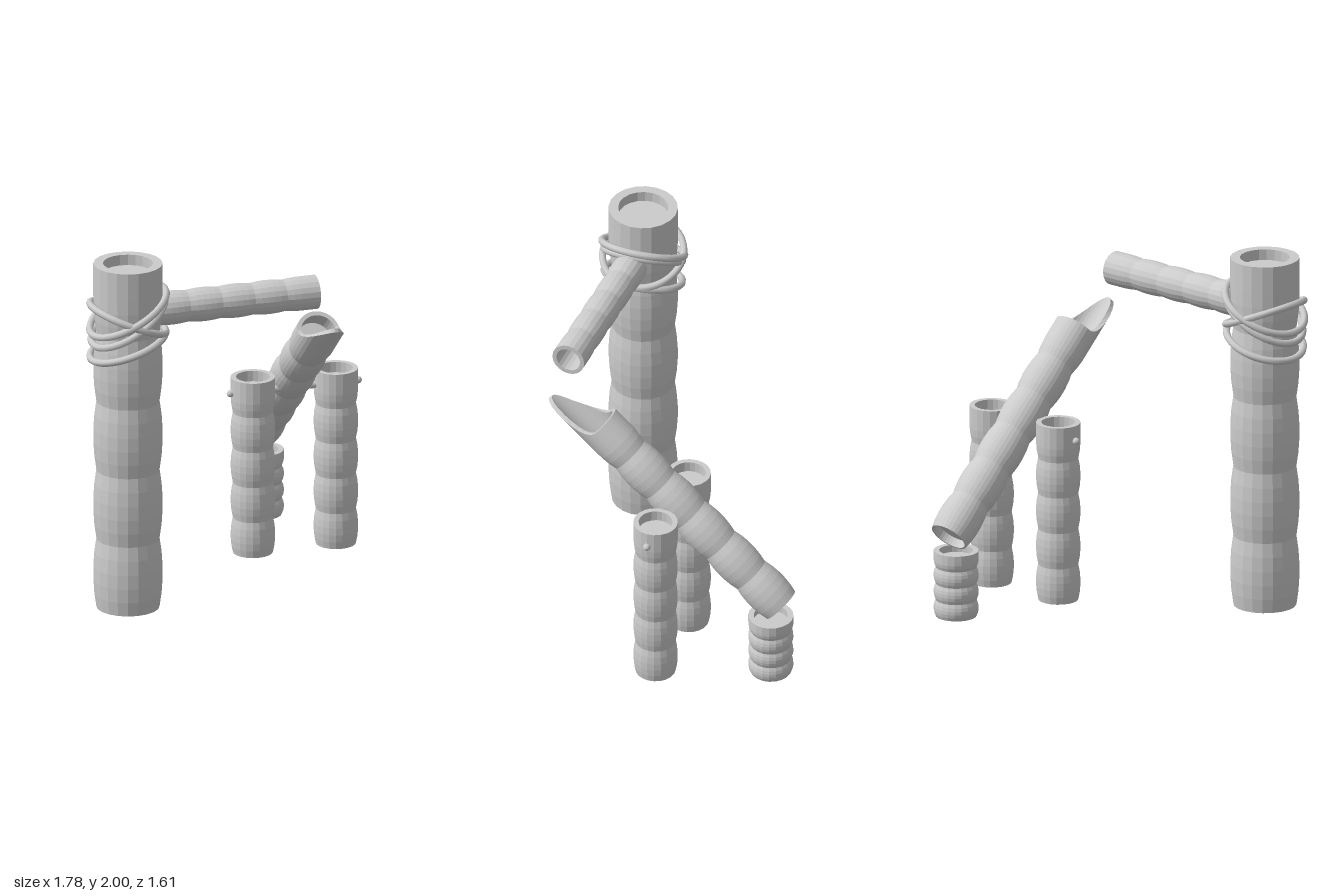
import * as THREE from 'three';

const mat = new THREE.MeshStandardMaterial({ color: 0xcccccc, flatShading: true, side: THREE.DoubleSide });
const smoothMat = new THREE.MeshStandardMaterial({ color: 0xcccccc });

// Bamboo cane along +y: swelling sections, recessed ends closed by inner walls.
function cane({ length, rMax, rMin, sections, inner, top = 0.06, bottom = 0, open = false, flatTop = false, sides = 20 }) {
  const pts = [];
  const add = (r, y) => pts.push(new THREE.Vector2(r, y));
  if (bottom) {
    add(0, bottom);
    add(inner, bottom);
    add(inner, 0);
  } else if (!open) add(0, 0);
  const steps = sections * 5;
  for (let i = 0; i <= steps; i++) {
    const s = (i / steps) * sections;
    // the last section may stay wide up to the rim
    const wide = flatTop && s > sections - 0.5;
    const swell = wide ? 1 : Math.sin(Math.PI * (s % 1)) ** 0.8;
    add(rMin + (rMax - rMin) * (Number.isFinite(swell) ? swell : 0), (length * i) / steps);
  }
  add(inner, length);
  add(inner, length - top);
  add(0, length - top);
  return new THREE.LatheGeometry(pts, sides);
}

function addMesh(parent, name, geometry, x, y, z, material = mat) {
  const mesh = new THREE.Mesh(geometry, material);
  mesh.name = name;
  mesh.position.set(x, y, z);
  parent.add(mesh);
  return mesh;
}

// Closed rope loop around the tall post, tilted from its left to its right end.
function ropeLoop(yLeft, yRight, rx, rz, twist) {
  const pts = [];
  for (let i = 0; i < 32; i++) {
    const a = (i / 32) * Math.PI * 2;
    const c = Math.cos(a), s = Math.sin(a);
    pts.push(new THREE.Vector3(rx * c, (yLeft + yRight) / 2 + ((yRight - yLeft) / 2) * c + twist * s, rz * s));
  }
  return new THREE.TubeGeometry(new THREE.CatmullRomCurve3(pts, true), 64, 0.02, 8, true);
}

export function createModel() {
  const model = new THREE.Group();
  model.name = 'bambooFountain';

  // Tall post
  addMesh(model, 'tallPost', cane({
    length: 1.99, rMax: 0.19, rMin: 0.173, sections: 5, inner: 0.137, flatTop: true,
  }), -0.67, 0.01, 0.56);

  // Water spout
  const spout = addMesh(model, 'spout', cane({
    length: 0.93, rMax: 0.094, rMin: 0.087, sections: 5, inner: 0.07, top: 0.25, flatTop: true,
  }), -0.52, 1.715, 0.56);
  spout.rotation.z = -Math.PI / 2;

  // Rope lashing
  const lashing = new THREE.Group();
  lashing.name = 'ropeLashing';
  lashing.position.set(-0.67, 0, 0.56);
  model.add(lashing);
  [
    [1.77, 1.6, 0.207, 0.225, 0],
    [1.61, 1.835, 0.207, 0.23, 0],
    [1.46, 1.605, 0.207, 0.215, 0.01],
    [1.55, 1.8, 0.2, 0.218, -0.01],
  ].forEach((args, i) => addMesh(lashing, `ropeLoop${i + 1}`, ropeLoop(...args), 0, 0, 0, smoothMat));

  // Pair of support posts
  for (const [name, x] of [['rightSupport', 0.26], ['leftSupport', 0.737]]) {
    addMesh(model, name, cane({
      length: 1.015, rMax: 0.122, rMin: 0.11, sections: 5, inner: 0.093, flatTop: true,
    }), x, 0.005, -0.09);
  }

  // Axle with rounded ends
  const axle = addMesh(model, 'axle', new THREE.CapsuleGeometry(0.02, 0.735, 6, 12), 0.498, 0.935, -0.09, smoothMat);
  axle.rotation.z = Math.PI / 2;

  // Tipping tube, its mouth drawn out to a pointed lip on the lower side
  const length = 1.42;
  const tubeGeo = cane({
    length, rMax: 0.122, rMin: 0.108, sections: 6, inner: 0.098, top: 0.11, bottom: 0.05, flatTop: true, sides: 32,
  });
  const p = tubeGeo.attributes.position;
  for (let i = 0; i < p.count; i++) {
    if (p.getY(i) < length - 0.001) continue;
    const cos = p.getZ(i) / Math.hypot(p.getX(i), p.getZ(i));
    const t = Math.max(0, (cos + 0.3) / 1.3);
    p.setY(i, length + 0.289 * t ** 2.1);
  }
  tubeGeo.computeVertexNormals();
  const tube = addMesh(model, 'tippingTube', tubeGeo, 0.498, 0.466, -0.733);
  tube.rotation.x = THREE.MathUtils.degToRad(49);

  // Striking stump, open underneath
  addMesh(model, 'strikingStump', cane({
    length: 0.375, rMax: 0.124, rMin: 0.112, sections: 4, inner: 0.093, top: 0.04, open: true, flatTop: true,
  }), 0.498, 0.003, -0.673);

  return model;
}
